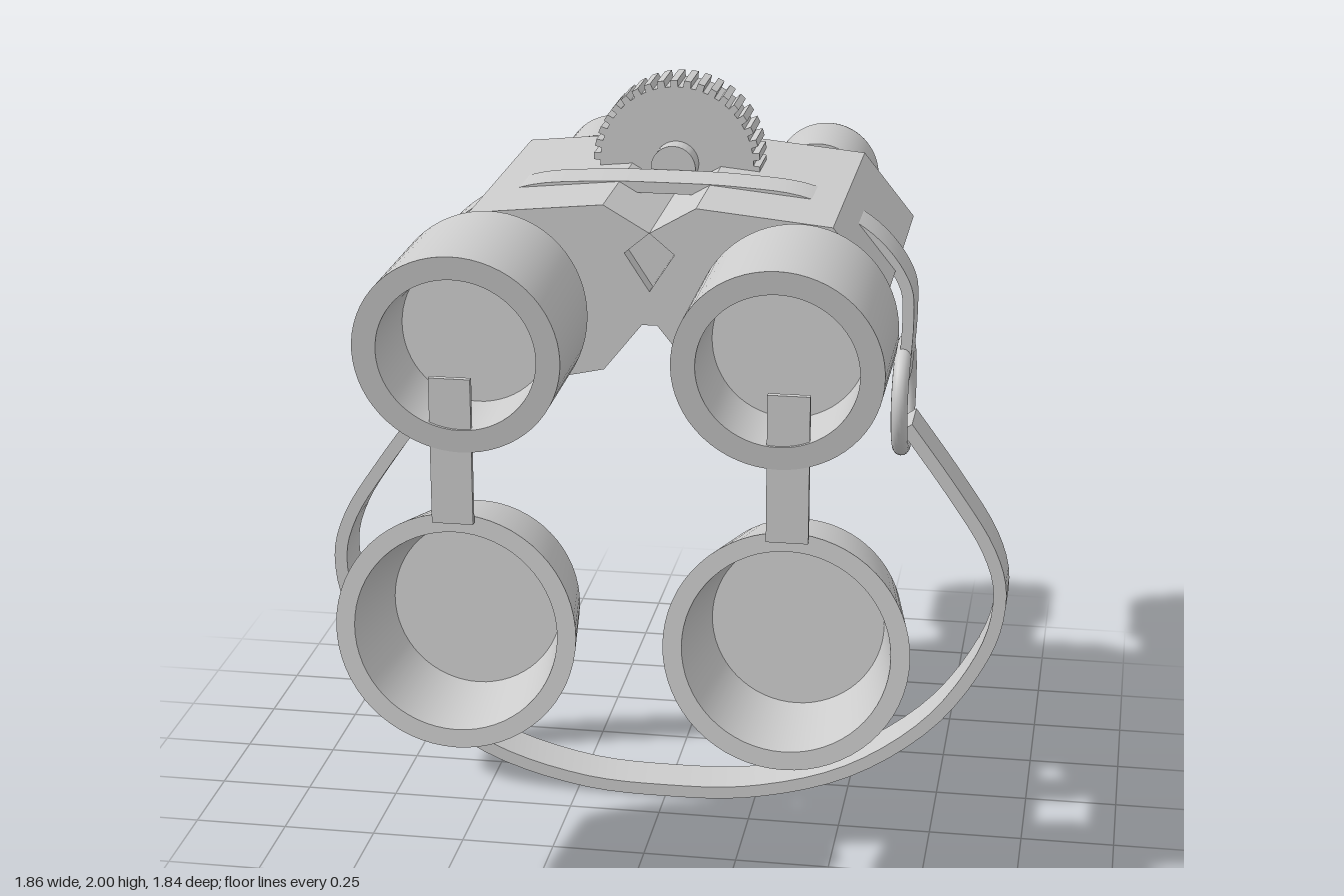
import * as THREE from 'three';
import { toCreasedNormals } from 'three/addons/utils/BufferGeometryUtils.js';

const grey = new THREE.MeshStandardMaterial({ color: 0xcccccc });
grey.name = 'plain grey';

const vec = ([x, y]) => new THREE.Vector2(x, y);

function add(parent, name, geometry, x = 0, y = 0, z = 0) {
  const mesh = new THREE.Mesh(geometry, grey);
  mesh.name = name;
  mesh.position.set(x, y, z);
  parent.add(mesh);
  return mesh;
}

// Turned solid along +z (dir = 1) or -z (dir = -1); bend may move its vertices
function turned(profile, dir = 1, bend = null) {
  const g = new THREE.LatheGeometry(profile.map(vec), 64);
  g.rotateX(dir * Math.PI / 2);
  if (bend) {
    const p = g.attributes.position;
    for (let i = 0; i < p.count; i++) p.setZ(i, bend(p.getY(i), p.getZ(i)));
  }
  return toCreasedNormals(g, 0.6);
}

// Outline in xy, extruded from z0 to z1
function slab(points, z0, z1) {
  const g = new THREE.ExtrudeGeometry(new THREE.Shape(points), { depth: z1 - z0, bevelEnabled: false });
  g.translate(0, 0, z0);
  return g;
}

// Flat band following a mirrored curve; half lists one side, ending on x = 0
function band(half, thickness) {
  const other = half.slice(0, -1).reverse().map(([x, y]) => [-x, y]);
  const curve = new THREE.SplineCurve([...half, ...other].map(vec));
  const n = 72, a = [], b = [];
  for (let i = 0; i <= n; i++) {
    const p = curve.getPoint(i / n), t = curve.getTangent(i / n);
    const off = new THREE.Vector2(-t.y, t.x).multiplyScalar(thickness / 2);
    a.push(p.clone().add(off));
    b.unshift(p.clone().sub(off));
  }
  return toCreasedNormals(slab([...a, ...b], 0.01, 0.145), 0.5);
}

// Half of the faceted body; a notched half leaves the hinge recess open
function bodyOutline(side, notched) {
  const pts = [[0, 1.455], [0.02, 1.455], [0.12, 1.33], [0.3, 1.29], [0.48, 1.32], [0.61, 1.56],
    [0.47, 1.735], [0.12, 1.77], [0, 1.70]];
  if (notched) pts.push([0.065, 1.645], [0, 1.545]);
  return pts.map(([x, y]) => new THREE.Vector2(side * x, y));
}

// Toothed focus wheel
function wheelOutline() {
  const teeth = 38, pts = [];
  for (let i = 0; i < teeth; i++) {
    [[0, 0.207], [0.4, 0.207], [0.45, 0.225], [0.95, 0.225]].forEach(([f, r]) => {
      const a = (i + f) / teeth * Math.PI * 2;
      pts.push(new THREE.Vector2(r * Math.cos(a), r * Math.sin(a)));
    });
  }
  return pts;
}

export function createModel() {
  const model = new THREE.Group();
  model.name = 'binoculars';

  // Slanted ends of the objective hood, relative to its axis at y = 1.51
  const hoodZ = (y, t) => {
    const h = y + 0.26, back = 0.565 - h * 0.144, front = 0.855 + h * 0.125;
    return back + (front - back) * t;
  };

  for (const s of [-1, 1]) {
    const half = new THREE.Group();
    half.name = s > 0 ? 'leftHalf' : 'rightHalf';
    model.add(half);

    // Body with hinge recess at both ends
    add(half, 'body', slab(bodyOutline(s, false), -0.36, 0.335));
    add(half, 'bodyFront', slab(bodyOutline(s, true), 0.335, 0.385));
    add(half, 'bodyBack', slab(bodyOutline(s, true), -0.41, -0.36));

    // Objective barrel and hollow hood
    add(half, 'objectiveNeck', turned([[0, 0.36], [0.187, 0.36], [0.187, 0.6], [0, 0.6]]), s * 0.392, 1.51);
    add(half, 'objectiveHood', turned([[0, 0], [0.26, 0], [0.26, 1], [0.2, 1], [0.195, 0.3], [0, 0.3]], 1, hoodZ),
      s * 0.395, 1.51);

    // Eyepiece with a hollow rounded cup
    add(half, 'eyepieceNeck', turned([[0, 0.38], [0.12, 0.38], [0.12, 0.65], [0, 0.65]], -1), s * 0.315, 1.55);
    add(half, 'eyeCup', turned([[0, 0.63], [0.151, 0.63], [0.151, 0.89], [0.147, 0.908], [0.137, 0.92],
      [0.125, 0.92], [0.118, 0.908], [0.113, 0.74], [0, 0.74]], -1), s * 0.315, 1.55);

    // Hanging lens cap and its tab
    const cap = add(half, 'lensCap', turned([[0, -0.29], [0.265, -0.29], [0.31, 0], [0.262, 0],
      [0.222, -0.26], [0, -0.26]]), s * 0.42, 0.768, 0.854);
    cap.rotation.x = -0.083;
    add(half, 'capTab', new THREE.BoxGeometry(0.105, 0.38, 0.016), s * 0.42, 1.25, 0.847);

    // Strap ring
    const ring = new THREE.TorusGeometry(0.14, 0.022, 16, 48);
    ring.rotateY(Math.PI / 2);
    add(half, 'strapRing', ring, s * 0.635, 1.2, 0.08);
  }

  // Focus wheel and axle
  add(model, 'focusWheel', slab(wheelOutline(), -0.19, -0.055), 0, 1.775, 0);
  add(model, 'focusAxle', turned([[0, -0.255], [0.06, -0.255], [0.06, 0.005], [0, 0.005]]), 0, 1.775, 0);

  // Band over the body and the neck strap
  add(model, 'bodyBand', band([[0.635, 1.25], [0.646, 1.42], [0.632, 1.53], [0.54, 1.645],
    [0.38, 1.73], [0.2, 1.753], [0, 1.757]], 0.03));
  add(model, 'neckStrap', band([[0.65, 1.13], [0.78, 0.95], [0.88, 0.79], [0.913, 0.65], [0.87, 0.48],
    [0.73, 0.275], [0.51, 0.115], [0.25, 0.034], [0, 0.018]], 0.035));

  return model;
}
